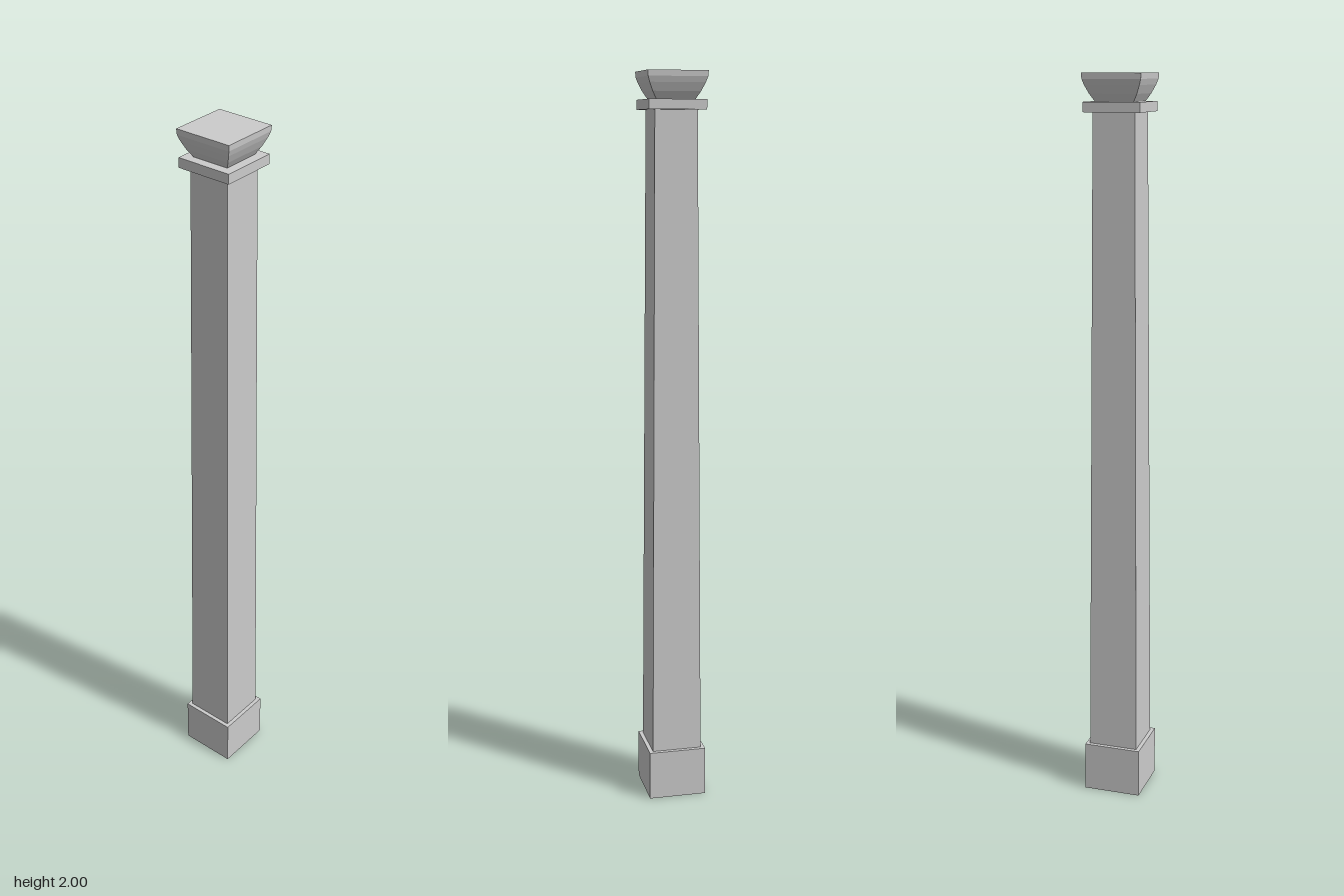
import * as THREE from 'three';

const material = new THREE.MeshStandardMaterial({ color: 0xcccccc, flatShading: true });

// Capped square solid through [halfWidth, y] levels, listed from bottom to top.
function squareLoft(name, levels) {
  const steps = levels.length - 1;
  const geometry = new THREE.CylinderGeometry(Math.SQRT2, Math.SQRT2, 1, 4, steps, false, Math.PI / 4);
  const p = geometry.attributes.position;
  for (let i = 0; i < p.count; i++) {
    const [half, y] = levels[Math.round((p.getY(i) + 0.5) * steps)];
    p.setXYZ(i, p.getX(i) * half, y, p.getZ(i) * half);
  }
  const flat = geometry.toNonIndexed();
  flat.computeVertexNormals();
  const mesh = new THREE.Mesh(flat, material);
  mesh.name = name;
  return mesh;
}

export function createModel() {
  const column = new THREE.Group();
  column.name = 'column';
  column.add(
    squareLoft('plinth', [[0.08, 0], [0.08, 0.137]]),
    // Gently tapering shaft
    squareLoft('shaft', [[0.069, 0.137], [0.057, 1.902]]),
    squareLoft('collar', [[0.077, 1.902], [0.077, 1.928]]),
    // Flared capital under a square top
    squareLoft('capital', [[0.052, 1.928], [0.064, 1.948], [0.074, 1.97], [0.079, 1.985], [0.08, 2]]),
  );
  return column;
}
